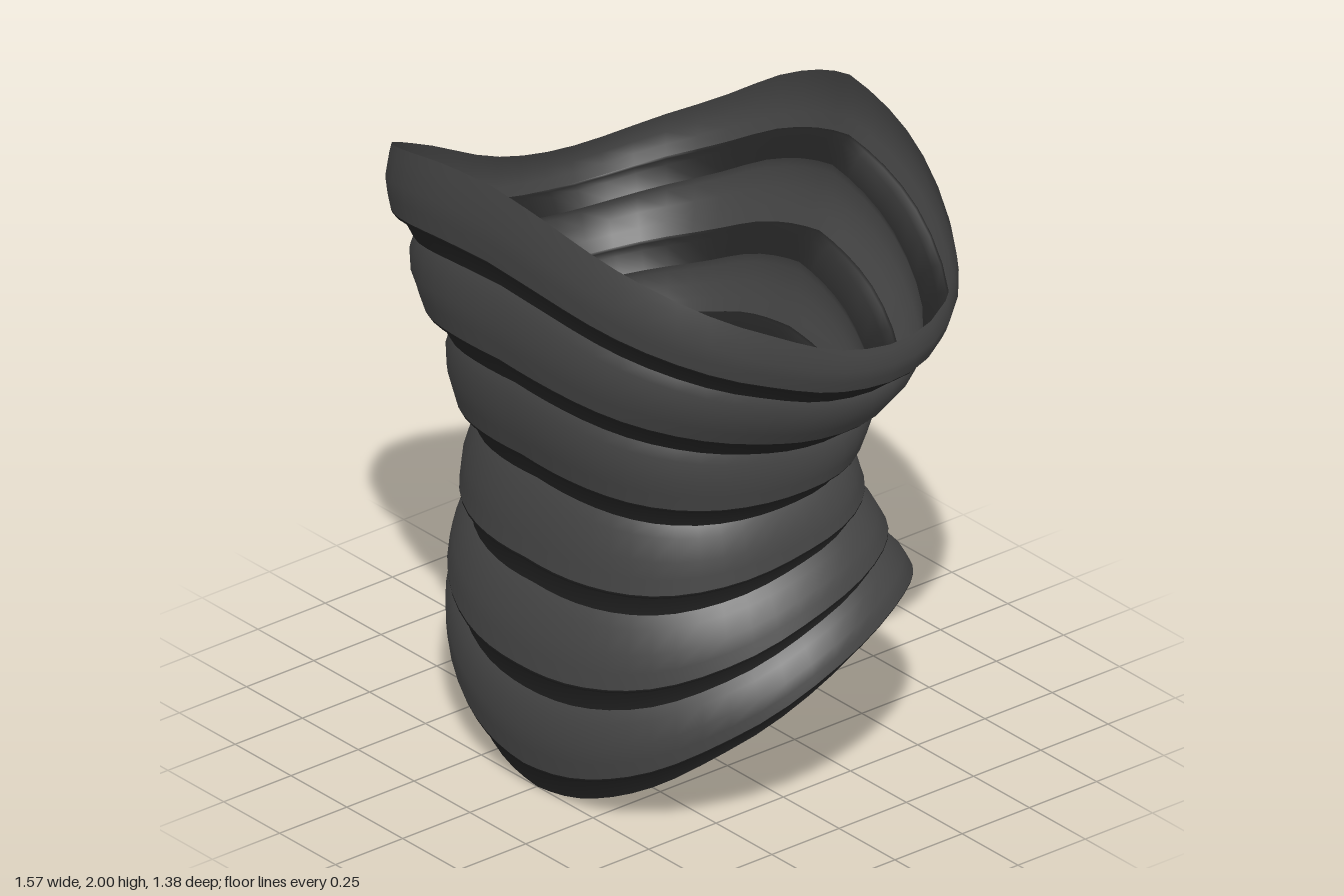
import * as THREE from 'three';

const SEGMENTS = 56;
const BANDS = 6;

// smooth curve through evenly spaced values, u = 0..1
function curve(values) {
  const s = new THREE.SplineCurve(values.map((v, i) => new THREE.Vector2(i, v)));
  return u => s.getPoint(Math.min(1, Math.max(0, u))).y;
}

// rim heights from the centre front (0) to the centre back (1)
const topEdge = curve([2.0, 1.97, 1.87, 1.71, 1.555, 1.51, 1.61, 1.80, 1.91]);
const bottomEdge = curve([0, 0.035, 0.135, 0.31, 0.49, 0.58, 0.54, 0.435, 0.34]);

// half extents and squareness from the top (0) to the bottom (1)
const frontDepth = curve([0.70, 0.675, 0.62, 0.54, 0.555, 0.58, 0.54]);
const sideWidth = curve([0.80, 0.75, 0.64, 0.60, 0.635, 0.71, 0.765]);
const backDepth = curve([0.715, 0.645, 0.515, 0.425, 0.47, 0.565, 0.655]);
const squareness = curve([3.05, 2.85, 2.6, 2.45, 2.3, 2.12, 2.02]);

// point on the body: t down the body, angle from the front, offset outward
function bodyPoint(t, angle, offset) {
  const sin = Math.sin(angle), cos = Math.cos(angle);
  const depth = (cos > 0 ? frontDepth(t) : backDepth(t)) + offset;
  const width = sideWidth(t) + offset;
  const n = squareness(t);
  let r = Math.pow(Math.pow(Math.abs(sin) / width, n) + Math.pow(Math.abs(cos) / depth, n), -1 / n);
  const around = angle > Math.PI ? 2 - angle / Math.PI : angle / Math.PI;
  // shallow notch at the top of the back
  r -= 0.022 * Math.max(0, 1 - (1 - around) / 0.09) * Math.max(0, 1 - t / 0.25);
  // bands sag towards the sides and back around the waist
  const sag = 0.048 * Math.sin(around * Math.PI * 0.78) * Math.sin(Math.PI * Math.pow(t, 1.4));
  const y = THREE.MathUtils.lerp(topEdge(around), bottomEdge(around), t) - sag;
  return [r * sin, y, r * cos];
}

// closed strip through rows of [t, offset]
function strip(rows) {
  const positions = [], index = [];
  rows.forEach(([t, offset], j) => {
    for (let i = 0; i < SEGMENTS; i++) {
      positions.push(...bodyPoint(t, (i / SEGMENTS) * Math.PI * 2, offset));
      if (j === rows.length - 1) continue;
      const k = (i + 1) % SEGMENTS;
      const a = j * SEGMENTS + i, b = j * SEGMENTS + k;
      const c = a + SEGMENTS, d = b + SEGMENTS;
      index.push(a, c, b, b, c, d);
    }
  });
  const g = new THREE.BufferGeometry();
  g.setAttribute('position', new THREE.Float32BufferAttribute(positions, 3));
  g.setIndex(index);
  g.computeVertexNormals();
  return g;
}

export function createModel() {
  const group = new THREE.Group();
  group.name = 'corset';
  const panelMaterial = new THREE.MeshStandardMaterial({ color: 0x444444, side: THREE.DoubleSide });
  const liningMaterial = new THREE.MeshStandardMaterial({ color: 0x222222, side: THREE.DoubleSide });

  for (let i = 0; i < BANDS; i++) {
    const row = (s, offset) => [(i + s) / BANDS, offset];
    const band = new THREE.Group();
    band.name = 'band' + (i + 1);

    // outer face swelling outward on its way down
    const face = new THREE.Mesh(
      strip([row(0, i === 0 ? -0.03 : -0.04), row(0.12, -0.02), row(0.36, -0.002), row(0.55, 0), row(0.72, 0)]),
      panelMaterial);
    face.name = 'bandFace';

    // dark strip stepping in above the next band
    const fold = new THREE.Mesh(
      strip([row(0.72, 0), row(0.75, -0.002), row(0.78, -0.024), row(1, -0.04)]),
      liningMaterial);
    fold.name = 'bandFold';

    band.add(face, fold);
    group.add(band);
  }
  return group;
}
